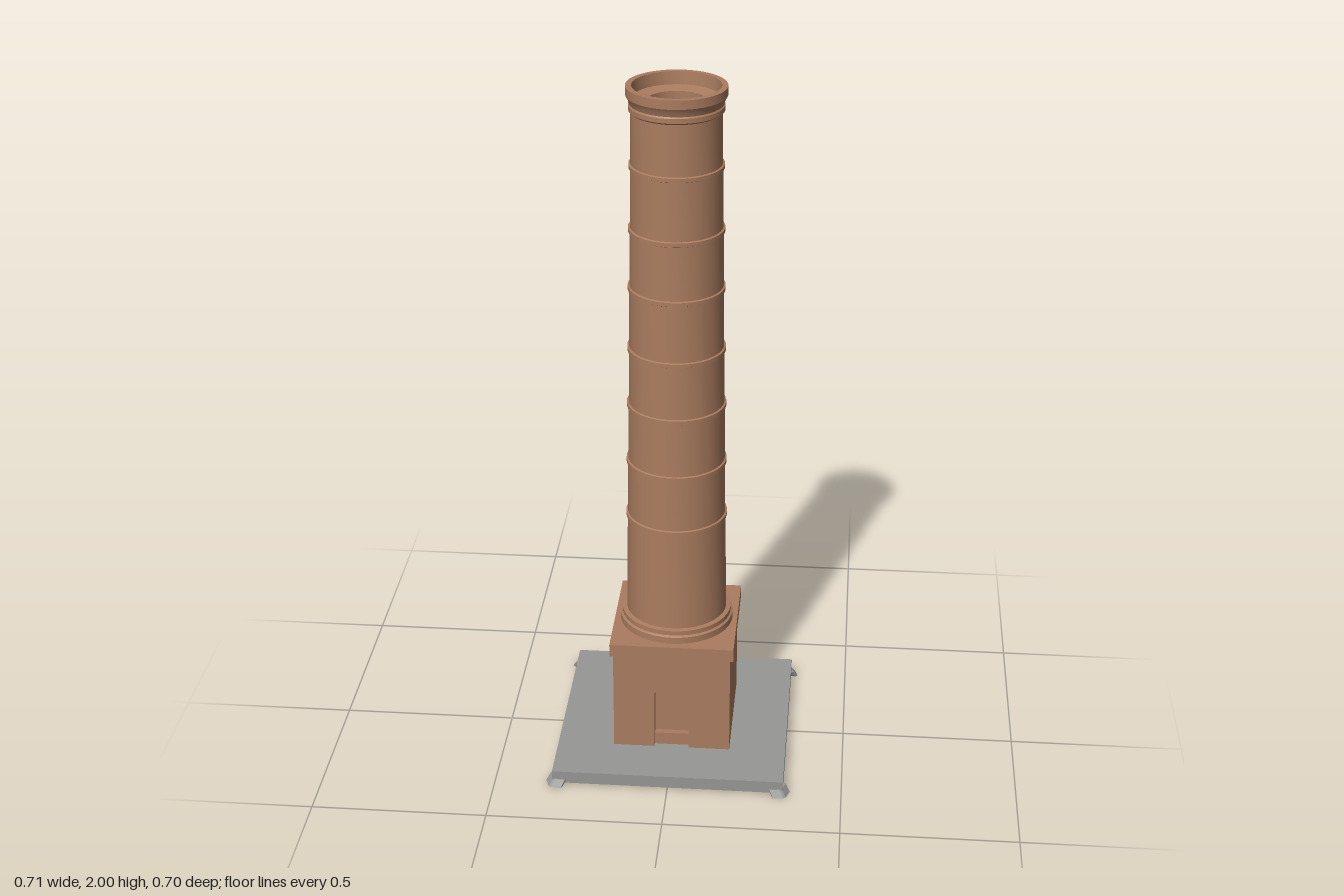
import * as THREE from 'three';
import { toCreasedNormals } from 'three/addons/utils/BufferGeometryUtils.js';

const brick = new THREE.MeshStandardMaterial({ color: 0xaa7c5f });
brick.name = 'brick';
const concrete = new THREE.MeshStandardMaterial({ color: 0x979795 });
concrete.name = 'concrete';

const FLUE = 0.08; // flue radius

function add(group, name, geometry, material, x = 0, y = 0, z = 0) {
  const mesh = new THREE.Mesh(geometry, material);
  mesh.name = name;
  mesh.position.set(x, y, z);
  group.add(mesh);
  return mesh;
}

function polygon(points) {
  return new THREE.Shape(points.map(([x, y]) => new THREE.Vector2(x, y)));
}

// Rectangular block pierced by the round flue, rising from y = 0
function piercedBlock(width, height, depth) {
  const w = width / 2, d = depth / 2;
  const shape = polygon([[-w, -d], [w, -d], [w, d], [-w, d]]);
  shape.holes.push(new THREE.Path().absarc(0, 0, FLUE, 0, Math.PI * 2, true));
  const geo = new THREE.ExtrudeGeometry(shape, { depth: height, bevelEnabled: false, curveSegments: 16 });
  return toCreasedNormals(geo.rotateX(-Math.PI / 2), 0.6);
}

// Wall with a shallow arched doorway cut out of it
function doorWall(width, height, thickness) {
  const w = width / 2, door = 0.05, spring = 0.175, crown = 0.212;
  const shape = new THREE.Shape();
  shape.moveTo(-w, 0);
  shape.lineTo(-door, 0);
  shape.lineTo(-door, spring);
  shape.bezierCurveTo(-door, crown, door, crown, door, spring);
  shape.lineTo(door, 0);
  shape.lineTo(w, 0);
  shape.lineTo(w, height);
  shape.lineTo(-w, height);
  return new THREE.ExtrudeGeometry(shape, { depth: thickness, bevelEnabled: false, curveSegments: 12 });
}

function createBase() {
  const base = new THREE.Group();
  base.name = 'base';
  add(base, 'slab', new THREE.BoxGeometry(0.666, 0.037, 0.666), concrete, 0, 0.0265, 0);
  // Splayed feet under the four corners
  const outline = polygon([[0.302, 0.31], [0.33, 0.308], [0.345, 0.306], [0.353, 0.312],
    [0.342, 0.343], [0.335, 0.347], [0.306, 0.35], [0.302, 0.342]]);
  for (const sx of [-1, 1]) for (const sz of [-1, 1]) {
    const shape = polygon(outline.getPoints().map((p) => [p.x * sx, p.y * sz]));
    const foot = new THREE.ExtrudeGeometry(shape, { depth: 0.02, bevelEnabled: false }).rotateX(-Math.PI / 2);
    // Narrow the top of each foot toward the slab
    const pos = foot.attributes.position;
    for (let i = 0; i < pos.count; i++) {
      if (pos.getY(i) > 0.01) pos.setXYZ(i, pos.getX(i) * 0.965, pos.getY(i), pos.getZ(i) * 0.965);
    }
    foot.computeVertexNormals();
    add(base, 'cornerFoot', foot, concrete);
  }
  return base;
}

function createPedestal() {
  const pedestal = new THREE.Group();
  pedestal.name = 'pedestal';
  const bottom = 0.045, height = 0.305, recess = 0.032;
  add(pedestal, 'core', piercedBlock(0.338, height, 0.358 - 2 * recess), brick, 0, bottom, 0);
  // Matching doorways at the front and the back
  for (const turn of [0, Math.PI]) {
    const side = new THREE.Group();
    side.name = 'doorSide';
    side.rotation.y = turn;
    add(side, 'doorWall', doorWall(0.338, height, recess), brick, 0, bottom, 0.179 - recess);
    add(side, 'doorStep', new THREE.BoxGeometry(0.1, 0.038, 0.018), brick, 0, bottom + 0.019, 0.156);
    pedestal.add(side);
  }
  add(pedestal, 'cornice', piercedBlock(0.357, 0.038, 0.372), brick, 0, 0.35, 0);
  return pedestal;
}

function createShaft() {
  const radiusAt = (y) => THREE.MathUtils.lerp(0.145, 0.123, (y - 0.42) / 1.51);
  // Foot moulding
  const profile = [[FLUE, 0.388], [0.164, 0.388], [0.164, 0.408], [0.158, 0.412], [0.158, 0.426], [radiusAt(0.426), 0.428]];
  // Slim brick bands up the tapering shaft
  for (const y of [0.735, 0.905, 1.08, 1.25, 1.43, 1.6, 1.78]) {
    const r = radiusAt(y);
    profile.push([r, y - 0.008], [r + 0.004, y - 0.006], [r + 0.004, y + 0.005], [r - 0.001, y + 0.007]);
  }
  // Flared crown, inner ledge, then down the flue
  profile.push([0.123, 1.93], [0.129, 1.935], [0.129, 1.948], [0.126, 1.952], [0.13, 1.965], [0.136, 1.975],
    [0.136, 2], [0.12, 2], [0.117, 1.965], [FLUE, 1.958], [FLUE, 0.388]);
  const lathe = new THREE.LatheGeometry(profile.map(([r, y]) => new THREE.Vector2(r, y)), 40);
  const shaft = new THREE.Group();
  shaft.name = 'chimney';
  add(shaft, 'shaft', toCreasedNormals(lathe, 0.5), brick);
  return shaft;
}

export function createModel() {
  const model = new THREE.Group();
  model.name = 'brickChimney';
  model.add(createBase(), createPedestal(), createShaft());
  return model;
}
